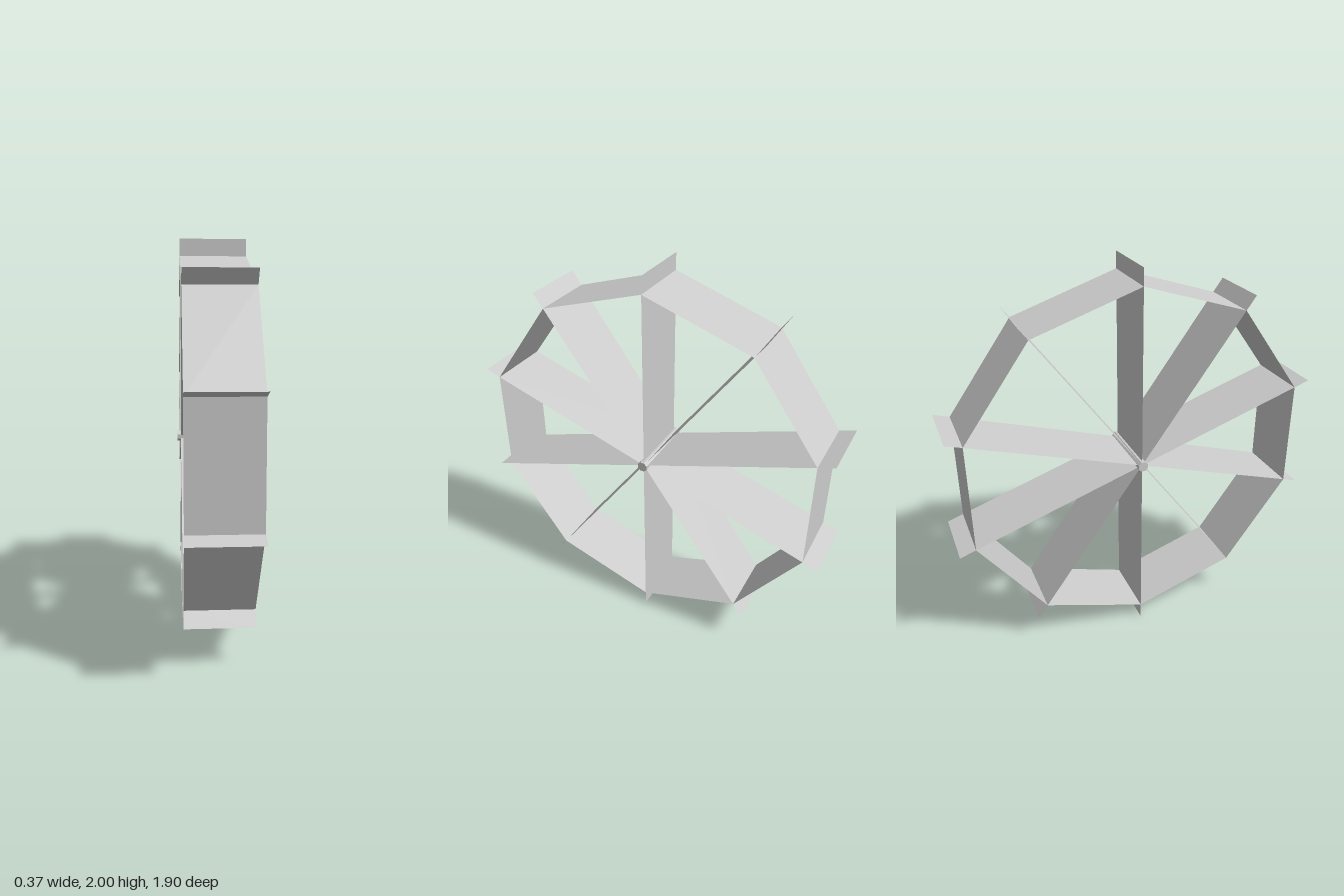
import * as THREE from 'three';

const COUNT = 10;         // spokes, rim panels and paddles
const WIDTH = 0.336;      // wheel width along x
const RIM = 0.915;        // radius at the rim corners
const TIP = 1;            // radius at the paddle tips
const STEP = (Math.PI * 2) / COUNT;

const sheetMaterial = new THREE.MeshStandardMaterial({
  color: 0xcccccc, flatShading: true, side: THREE.DoubleSide,
});
const solidMaterial = new THREE.MeshStandardMaterial({ color: 0xcccccc, flatShading: true });

// Thin upright sheet spanning the wheel's width from radius r0 to r1
function radialSheet(name, r0, r1) {
  const geometry = new THREE.PlaneGeometry(WIDTH, r1 - r0);
  geometry.translate(0, (r0 + r1) / 2, 0);
  const mesh = new THREE.Mesh(geometry, sheetMaterial);
  mesh.name = name;
  return mesh;
}

// Flat rim panel joining one rim corner to the next
function rimPanel() {
  const geometry = new THREE.PlaneGeometry(WIDTH, 2 * RIM * Math.sin(STEP / 2));
  geometry.rotateX(-Math.PI / 2);
  geometry.translate(0, RIM * Math.cos(STEP / 2), 0);
  geometry.rotateX(STEP / 2);
  const mesh = new THREE.Mesh(geometry, sheetMaterial);
  mesh.name = 'rimPanel';
  return mesh;
}

export function createModel() {
  const wheel = new THREE.Group();
  wheel.name = 'waterWheel';
  wheel.position.y = 1;

  // Ten identical sectors, the first pointing straight up
  for (let i = 0; i < COUNT; i++) {
    const sector = new THREE.Group();
    sector.name = 'sector';
    sector.rotation.x = i * STEP;
    sector.add(radialSheet('spoke', 0, RIM), radialSheet('paddle', RIM, TIP), rimPanel());
    wheel.add(sector);
  }

  // Axle sticking out slightly on both sides
  const axleGeometry = new THREE.CylinderGeometry(0.027, 0.027, 0.37, 8);
  axleGeometry.rotateY(Math.PI / 8);
  axleGeometry.rotateZ(Math.PI / 2);
  const axle = new THREE.Mesh(axleGeometry, solidMaterial);
  axle.name = 'axle';
  wheel.add(axle);

  const model = new THREE.Group();
  model.name = 'model';
  model.add(wheel);
  return model;
}
